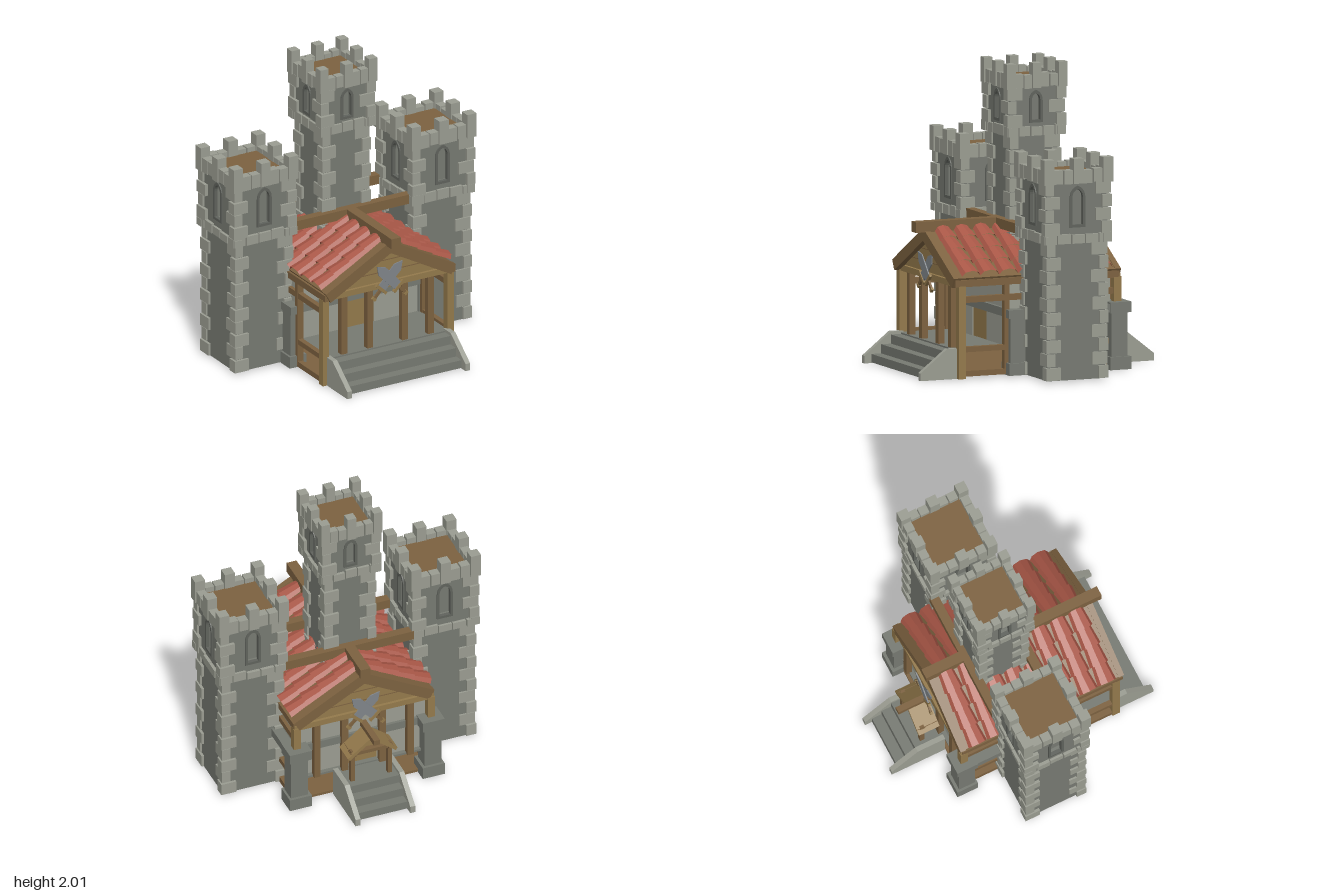
import * as THREE from 'three';

const mat = (color, extra = {}) => {
  const m = new THREE.MeshStandardMaterial({ color, flatShading: true, ...extra });
  return m;
};
const M = {
  stone: mat(0x777a72), light: mat(0x9b9d92), dark: mat(0x60635d), wood: mat(0x7d6240),
  plank: mat(0x947a4c), tile: mat(0xa85646, { side: THREE.DoubleSide }), metal: mat(0x80858a),
};

let seed = 7;
const rand = () => (seed = (seed * 16807) % 2147483647) / 2147483647;

function add(parent, name, geo, material, x = 0, y = 0, z = 0) {
  const m = new THREE.Mesh(geo, material);
  m.name = name;
  m.position.set(x, y, z);
  parent.add(m);
  return m;
}
// box given by its limits on each axis
function bar(parent, name, material, x0, x1, y0, y1, z0, z1) {
  return add(parent, name, new THREE.BoxGeometry(x1 - x0, y1 - y0, z1 - z0), material,
    (x0 + x1) / 2, (y0 + y1) / 2, (z0 + z1) / 2);
}
function group(parent, name, x = 0, y = 0, z = 0, ry = 0) {
  const g = new THREE.Group();
  g.name = name;
  g.position.set(x, y, z);
  g.rotation.y = ry;
  parent.add(g);
  return g;
}
const polygon = pts => new THREE.Shape(pts.map(p => new THREE.Vector2(...p)));
const extrude = (shape, depth) => new THREE.ExtrudeGeometry(shape, { depth, bevelEnabled: false, curveSegments: 5 });

// pointed window outline
function arch(Type, w, y0, y1) {
  const s = new Type(), spring = y1 - w * 0.75;
  s.moveTo(-w / 2, y0);
  s.lineTo(w / 2, y0);
  s.lineTo(w / 2, spring);
  s.quadraticCurveTo(w / 2, y1 - w * 0.2, 0, y1);
  s.quadraticCurveTo(-w / 2, y1 - w * 0.2, -w / 2, spring);
  return s;
}

// alternating long and short blocks up one corner
function quoins(side, half, y0, y1, pitch) {
  const n = Math.round((y1 - y0) / pitch), p = (y1 - y0) / n;
  for (let i = 0; i < n; i++) {
    const a = (i % 2 ? 0.105 : 0.06) + rand() * 0.012, b = i % 2 ? 0.06 : 0.105;
    const out = half - (i % 2) * 0.006;
    bar(side, 'cornerStone', M.light, out - a, out, y0 + i * p + 0.004, y0 + (i + 1) * p - 0.004, out - b, out);
  }
}

function tower(parent, name, x, z, shaftW, topW, yBase, yHead, yCrown, winW) {
  const g = group(parent, name, x, 0, z);
  const s = shaftW / 2, t = topW / 2, wall = t - 0.028, c = 0.04;
  bar(g, 'shaft', M.stone, -s + 0.018, s - 0.018, yBase, yHead + 0.02, -s + 0.018, s - 0.018);
  bar(g, 'headCore', M.stone, -wall + c, wall - c, yHead, yCrown + 0.03, -wall + c, wall - c);
  bar(g, 'headUnderside', M.stone, -wall, wall, yHead, yHead + 0.03, -wall, wall);
  bar(g, 'towerFloor', M.wood, -t + 0.06, t - 0.06, yCrown, yCrown + 0.045, -t + 0.06, t - 0.06);
  const w0 = yHead + (yCrown - yHead) * 0.25, w1 = yCrown - 0.025;
  for (let k = 0; k < 4; k++) {
    const side = group(g, 'towerSide', 0, 0, 0, k * Math.PI / 2);
    quoins(side, s, yBase, yHead, 0.093);
    quoins(side, t - 0.006, yHead + 0.05, yCrown, 0.085);
    // wall with recessed window
    const face = polygon([[-wall, yHead], [wall, yHead], [wall, yCrown], [-wall, yCrown]]);
    face.holes.push(arch(THREE.Path, winW - 0.02, w0 + 0.01, w1 - 0.01));
    add(side, 'headWall', extrude(face, c), M.stone, 0, 0, wall - c);
    const frame = arch(THREE.Shape, winW, w0, w1);
    frame.holes.push(arch(THREE.Path, winW - 0.035, w0 + 0.018, w1 - 0.022));
    add(side, 'windowFrame', extrude(frame, 0.025), M.dark, 0, 0, wall - 0.017);
    // lower stone course
    for (let i = 0; i < 5; i++) {
      const p = topW / 5, x0 = -t + i * p;
      bar(side, 'courseStone', M.light, x0 + 0.004, x0 + p - 0.004, yHead - 0.004,
        yHead + 0.045 + rand() * 0.02, t - 0.065, t - 0.005 - rand() * 0.008);
    }
    // battlements: tall merlons with low stones between
    for (let i = 0; i < 6; i++) {
      const p = topW / 7, x0 = -t + i * p, tall = i % 3 === 0, e = tall ? 0 : 0.004;
      bar(side, tall ? 'merlon' : 'parapetStone', M.light, x0 + e, x0 + p - e, yCrown - (tall ? 0.01 : rand() * 0.015),
        yCrown + (tall ? 0.155 : 0.075 + rand() * 0.015), t - p + e, t - e * 2);
    }
  }
}

// stepped stairs with sloping cheeks, running out toward +z
function stairs(parent, name, half, zIn, ry) {
  const g = group(parent, name, 0, 0, 0, ry);
  [[0.18, 0.70], [0.12, 0.77], [0.06, 0.84]].forEach(([h, z]) =>
    bar(g, 'step', M.stone, -half, half, 0.005, h, zIn, z));
  const cheek = extrude(polygon([[zIn, 0], [0.89, 0], [0.89, 0.05], [0.70, 0.2], [zIn, 0.2]]), 0.035);
  cheek.rotateY(-Math.PI / 2);
  add(g, 'stairCheek', cheek, M.light, half + 0.035);
  add(g, 'stairCheek', cheek, M.light, -half);
}

// crossed swords facing +z
function swords(parent, z, ry) {
  const g = group(parent, 'crossedSwords', 0, 0.665, z, ry);
  const blade = extrude(polygon([[-0.032, -0.08], [0.032, -0.08], [0.036, 0.09], [0, 0.145], [-0.036, 0.09]]), 0.008);
  for (const s of [-1, 1]) {
    const sword = group(g, 'sword', 0, 0, s > 0 ? 0.012 : 0);
    sword.rotation.z = s * 0.76;
    add(sword, 'blade', blade, M.metal);
    bar(sword, 'guard', M.plank, -0.05, 0.05, -0.1, -0.08, -0.004, 0.014);
    bar(sword, 'grip', M.wood, -0.01, 0.01, -0.165, -0.1, -0.002, 0.012);
    bar(sword, 'pommel', M.plank, -0.015, 0.015, -0.18, -0.16, -0.004, 0.014);
  }
}

const SLOPE = Math.atan2(0.27, 0.49);

function roof(parent) {
  const g = group(parent, 'roof', 0, 0, 0.067);
  for (const ry of [0, Math.PI]) {
    const half = group(g, 'roofSide', 0, 0, 0, ry);
    // frame with x along the ridge, y up the slope, z outward
    const slope = group(half, 'slope', 0, 0.93, 0);
    const c = Math.cos(SLOPE), s = Math.sin(SLOPE);
    slope.quaternion.setFromRotationMatrix(new THREE.Matrix4().makeBasis(
      new THREE.Vector3(0, 0, -1), new THREE.Vector3(-c, s, 0), new THREE.Vector3(s, c, 0)));
    bar(slope, 'roofDeck', M.wood, -0.59, 0.59, -0.555, 0, -0.022, 0);
    for (const e of [-1, 1]) bar(slope, 'rafter', M.wood, e * 0.577 - 0.02, e * 0.577 + 0.02, -0.56, 0.01, -0.07, 0.004);
    for (const x of [-0.3, 0, 0.3]) bar(slope, 'innerRafter', M.wood, x - 0.02, x + 0.02, -0.54, 0, -0.05, -0.02);
    const tile = new THREE.CylinderGeometry(0.052, 0.066, 0.15, 4, 1, true, -Math.PI / 2, Math.PI);
    tile.scale(1, 1, 0.62);
    for (let i = 0; i < 8; i++) for (let j = 0; j < 4; j++) {
      const t = add(slope, 'roofTile', tile, M.tile, (i - 3.5) * 0.135, -0.478 + j * 0.13, 0.008);
      t.rotation.x = -0.07;
      t.rotation.z = (rand() - 0.5) * 0.05;
    }
    bar(half, 'eaveBeam', M.wood, 0.455, 0.495, 0.605, 0.65, -0.585, 0.585);
  }
  bar(g, 'ridgeBeam', M.wood, -0.035, 0.035, 0.91, 0.98, -0.617, 0.663);
}

// gable wall and the posts beneath it, outer face at z = 0 toward +z
function gable(parent, name, z, ry, cornerBase) {
  const g = group(parent, name, 0, 0, z, ry);
  add(g, 'gablePlanks', extrude(polygon([[-0.46, 0.62], [0.46, 0.62], [0, 0.88]]), 0.02), M.plank, 0, 0, -0.045);
  for (const y of [0.70, 0.78]) {
    const w = (0.88 - y) * 1.75;
    bar(g, 'plankSeam', M.wood, -w, w, y, y + 0.006, -0.03, -0.022);
  }
  bar(g, 'tieBeam', M.plank, -0.49, 0.49, 0.595, 0.635, -0.05, -0.005);
  for (const x of [-0.328, -0.132, 0.132, 0.328]) bar(g, 'innerPost', M.wood, x - 0.022, x + 0.022, 0.18, 0.6, -0.05, -0.008);
  for (const x of [-0.472, 0.472]) bar(g, 'cornerPost', M.plank, x - 0.024, x + 0.024, cornerBase, 0.61, -0.052, 0);
}

// stone wall panels with a band and door
function hallWall(parent, name, z0, z1) {
  const g = group(parent, name);
  for (const s of [-1, 1]) bar(g, 'lowerPanel', M.light, s > 0 ? 0.11 : -0.45, s > 0 ? 0.45 : -0.11, 0.19, 0.39, z0 + 0.01, z1 - 0.01);
  bar(g, 'door', M.plank, -0.11, 0.11, 0.19, 0.39, z0 + 0.015, z1 - 0.015);
  bar(g, 'stoneBand', M.stone, -0.46, 0.46, 0.385, 0.44, z0 - 0.01, z1 + 0.01);
  bar(g, 'upperPanel', M.light, -0.45, 0.45, 0.44, 0.61, z0 + 0.01, z1 - 0.01);
}

export function createModel() {
  const model = new THREE.Group();
  model.name = 'gatehouse';

  for (const s of [-1, 1]) tower(model, 'sideTower', s * 0.675, -0.038, 0.445, 0.49, 0.01, 0.915, 1.315, 0.11);
  tower(model, 'centralTower', -0.015, -0.063, 0.37, 0.43, 0.6, 1.53, 1.85, 0.095);

  // floors
  bar(model, 'baseSlab', M.wood, -0.47, 0.47, 0.012, 0.03, -0.5, 0.62);
  bar(model, 'hallFloor', M.stone, -0.46, 0.46, 0.175, 0.19, -0.5, 0.63);
  stairs(model, 'frontStairs', 0.43, 0.61, 0);
  stairs(model, 'backStairs', 0.175, 0.5, Math.PI);

  // hall
  roof(model);
  gable(model, 'frontGable', 0.63, 0, 0);
  gable(model, 'backGable', -0.53, Math.PI, 0.2);
  hallWall(model, 'frontWall', 0.17, 0.27);
  hallWall(model, 'backWall', -0.48, -0.43);
  for (const z of [-0.25, 0.13]) bar(model, 'crossBeam', M.wood, -0.45, 0.45, 0.915, 0.98, z - 0.03, z + 0.03);

  // side framing, stone rail and corner piers
  for (const s of [-1, 1]) {
    const side = (name, m, a, b, ...rest) => bar(model, name, m, Math.min(s * a, s * b), Math.max(s * a, s * b), ...rest);
    for (const [y0, y1] of [[0.015, 0.052], [0.175, 0.21], [0.5, 0.54]]) side('sideRail', M.wood, 0.455, 0.49, y0, y1, -0.5, 0.6);
    side('wallPost', M.wood, 0.45, 0.492, 0.03, 0.62, 0.265, 0.302);
    side('sideUpperPanel', M.light, 0.445, 0.465, 0.44, 0.61, -0.46, 0.26);
    side('sideStoneRail', M.stone, 0.45, 0.537, 0.385, 0.44, -0.45, 0.29);
    side('frontPier', M.stone, 0.44, 0.53, 0.02, 0.39, 0.17, 0.275);
    side('frontPierBase', M.stone, 0.42, 0.545, 0.01, 0.09, 0.17, 0.29);
    side('backPier', M.stone, 0.41, 0.53, 0.05, 0.4, -0.56, -0.445);
    side('backPierBase', M.stone, 0.39, 0.545, 0.005, 0.09, -0.58, -0.43);
    side('backPierCap', M.stone, 0.39, 0.545, 0.38, 0.45, -0.58, -0.43);
    // back porch
    side('porchPost', M.wood, 0.115, 0.145, 0.18, 0.42, -0.65, -0.62);
    side('porchBeam', M.wood, 0.115, 0.145, 0.385, 0.41, -0.67, -0.5);
    const slab = bar(model, 'porchRoof', M.plank, -0.105, 0.105, -0.011, 0.011, -0.075, 0.075);
    slab.position.set(s * 0.085, 0.44, -0.598);
    slab.rotation.z = -s * 0.66;
  }
  bar(model, 'porchRidge', M.wood, -0.021, 0.021, 0.5, 0.537, -0.745, -0.5);
  bar(model, 'porchCrossBeam', M.wood, -0.15, 0.15, 0.385, 0.41, -0.655, -0.615);

  swords(model, 0.637, 0);
  swords(model, -0.54, Math.PI);
  return model;
}
